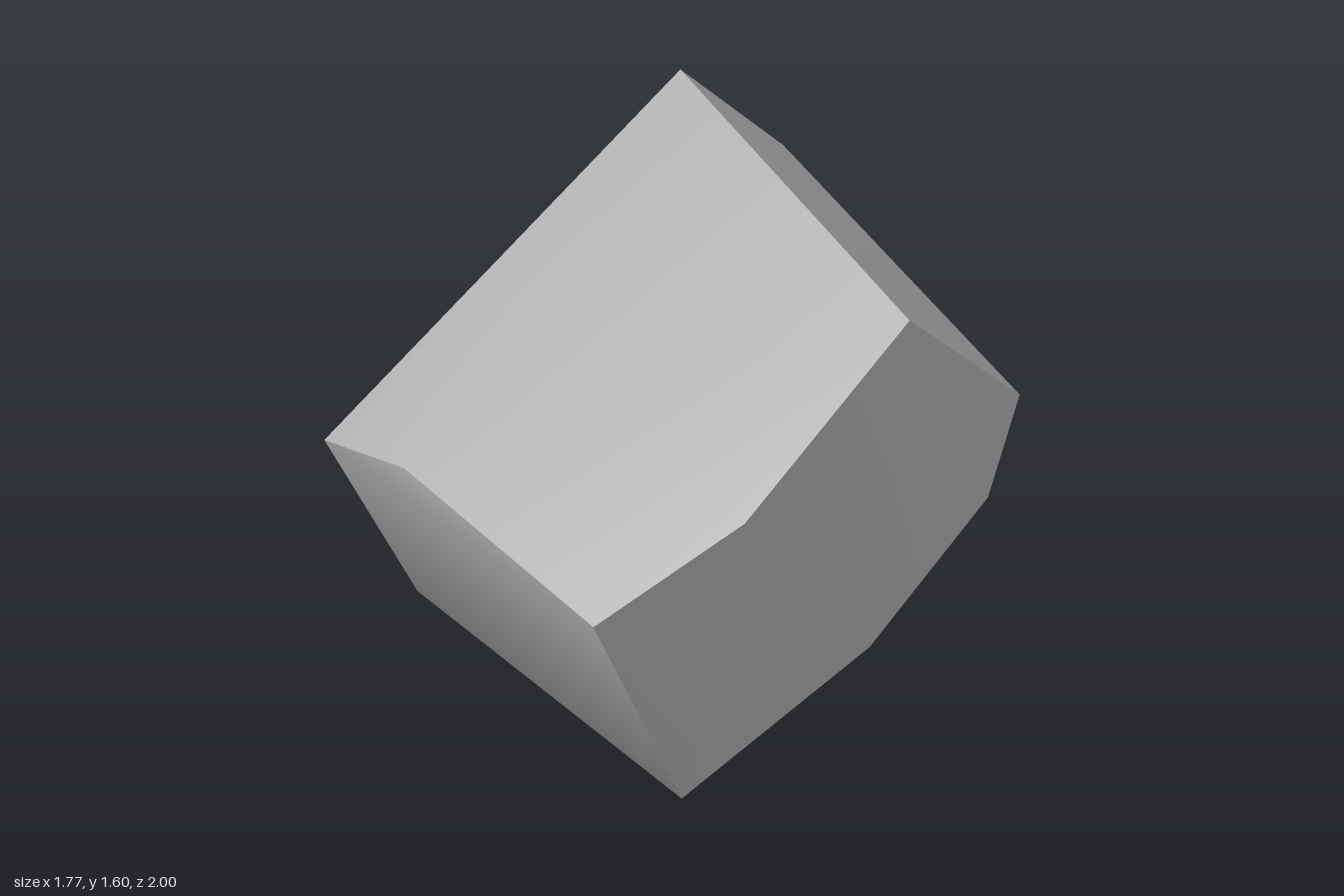
import * as THREE from 'three';
import { ConvexGeometry } from 'three/addons/geometries/ConvexGeometry.js';
import { toCreasedNormals } from 'three/addons/utils/BufferGeometryUtils.js';

// Corner points of the stone block, grouped by the edge they lie on
const edges = {
  frontTop: [[-0.89, 0.76, 0.88], [-0.38, 1.06, 1.0], [0.31, 1.58, 0.91]],
  frontBottom: [[-0.55, 0.0, 0.88], [0.12, 0.42, 0.97], [0.63, 0.79, 0.88], [0.88, 1.0, 0.67]],
  raisedEnd: [[0.49, 1.6, -0.84], [0.88, 1.02, -0.15], [0.885, 1.19, -0.84]],
  backRaisedCorner: [[0.51, 1.49, -0.95], [0.49, 1.18, -1.0]],
  backBottom: [[0.35, 0.81, -0.86], [-0.13, 0.49, -0.87], [-0.62, 0.21, -0.85]],
  lowEndBottom: [[-0.57, 0.01, 0.08], [-0.6, 0.03, -0.34], [-0.65, 0.06, -0.63]],
  lowEndTop: [[-0.73, 0.4, -0.98], [-0.87, 0.59, -0.86], [-0.885, 0.755, -0.33]],
};

export function createModel() {
  const group = new THREE.Group();
  group.name = 'stone';

  const stoneGrey = new THREE.MeshStandardMaterial({ color: 0xb0b0b0 });
  stoneGrey.name = 'stone grey';

  // Faceted block: soft across the worn sides, sharp at the broken ends
  const points = Object.values(edges).flat().map((p) => new THREE.Vector3(...p));
  const geometry = toCreasedNormals(new ConvexGeometry(points), 0.75);

  const block = new THREE.Mesh(geometry, stoneGrey);
  block.name = 'stoneBlock';
  group.add(block);
  return group;
}
